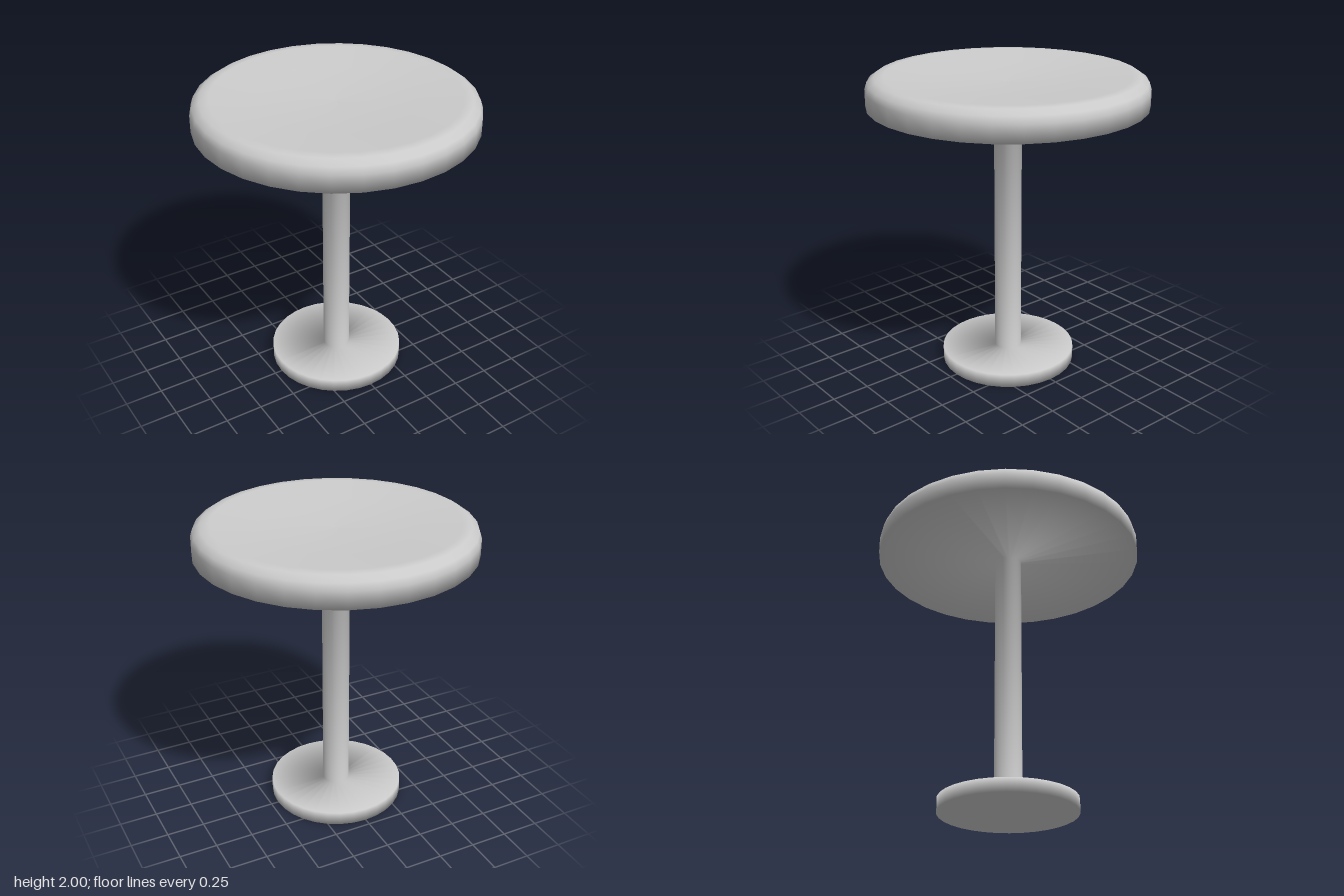
import * as THREE from 'three';

const SEGMENTS = 32;

// Half profile of the whole turned stool, from the floor up (radius, height)
const PROFILE = [
  [0, 0], [0.45, 0], [0.45, 0.09], [0.09, 0.09],            // base disc
  [0.09, 1.81],                                             // column
  [0.9, 1.81], [0.9, 1.92], [0.885, 1.965], [0.84, 1.995],  // seat underside and rounded rim
  [0.78, 2], [0.5, 1.97], [0.2, 1.955], [0, 1.95],          // shallow dish in the seat
].map(([r, y]) => new THREE.Vector2(r, y));

export function createModel() {
  const group = new THREE.Group();
  group.name = 'stool';
  const material = new THREE.MeshStandardMaterial({ color: 0xcccccc });

  // One lathe, so the shading runs smoothly across the joints between parts
  const turned = new THREE.LatheGeometry(PROFILE, SEGMENTS);
  const index = Array.from(turned.index.array);
  const rows = PROFILE.length - 1;

  // Cut out the band between two profile points as its own part
  function addPart(name, first, last) {
    const faces = [];
    for (let s = 0; s < SEGMENTS; s++) {
      faces.push(...index.slice((s * rows + first) * 6, (s * rows + last) * 6));
    }
    const band = turned.clone();
    band.setIndex(faces);
    const mesh = new THREE.Mesh(band.toNonIndexed(), material);
    mesh.name = name;
    group.add(mesh);
  }

  addPart('base', 0, 3);
  addPart('column', 3, 4);
  addPart('seat', 4, rows);

  return group;
}
